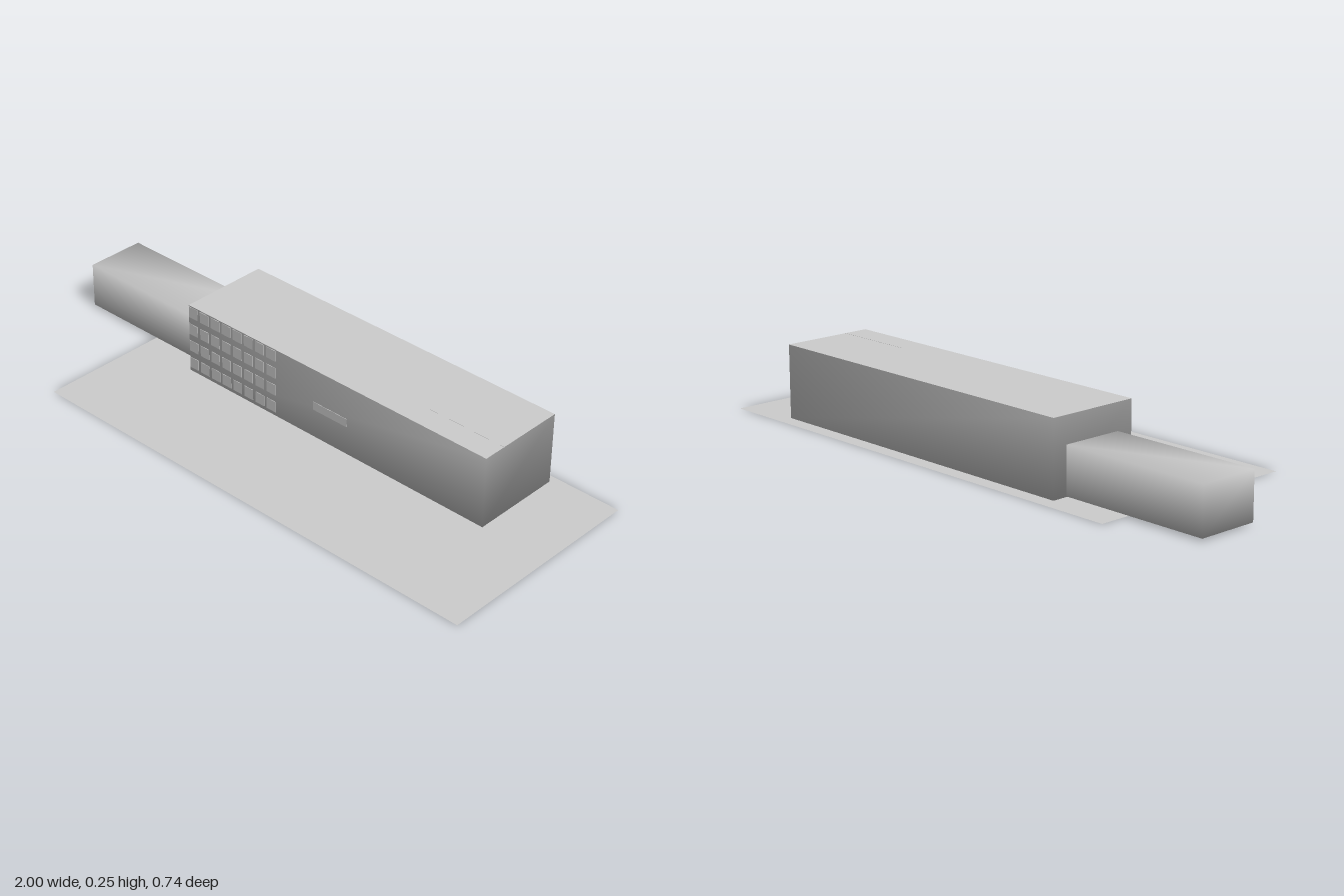
import * as THREE from 'three';
import { mergeVertices } from 'three/addons/utils/BufferGeometryUtils.js';

// box between two corners
function boxGeometry([x0, y0, z0], [x1, y1, z1]) {
  return new THREE.BoxGeometry(x1 - x0, y1 - y0, z1 - z0)
    .translate((x0 + x1) / 2, (y0 + y1) / 2, (z0 + z1) / 2);
}

// share the corners so that the shading runs softly over the edges
function soften(geometry) {
  geometry.deleteAttribute('normal');
  geometry.deleteAttribute('uv');
  const merged = mergeVertices(geometry);
  merged.computeVertexNormals();
  return merged;
}

export function createModel() {
  const model = new THREE.Group();
  const concrete = new THREE.MeshStandardMaterial({ color: 0xcccccc, side: THREE.DoubleSide });
  concrete.name = 'light grey';

  const add = (name, geometry, parent = model) => {
    const mesh = new THREE.Mesh(geometry, concrete);
    mesh.name = name;
    parent.add(mesh);
  };

  // site plate
  add('ground', new THREE.PlaneGeometry(1.7, 0.744).rotateX(-Math.PI / 2).translate(0.148, 0, 0));

  // main block: soft walls and floor, with a flat roof
  const walls = boxGeometry([-0.47, 0.007, -0.337], [0.765, 0.254, -0.018]);
  const index = Array.from(walls.index.array);
  index.splice(12, 6); // leave out the top face
  walls.setIndex(index);
  walls.clearGroups();
  add('mainBlock', soften(walls));
  add('roof', new THREE.PlaneGeometry(1.235, 0.319).rotateX(-Math.PI / 2).translate(0.1475, 0.254, -0.1775));

  // lower side wing
  add('wing', soften(boxGeometry([-1, 0.009, -0.285], [-0.47, 0.165, -0.075])));

  // window grid on the front
  const windows = new THREE.Group();
  windows.name = 'windows';
  model.add(windows);
  for (let row = 0; row < 4; row++) {
    for (let col = 0; col < 8; col++) {
      const x = -0.468 + col * 0.0495, y = 0.02 + row * 0.0635;
      add('window', boxGeometry([x, y, -0.02], [x + 0.038, y + 0.039, -0.0165]), windows);
    }
  }

  // entrance panel on the front
  add('entrancePanel', boxGeometry([0.08, 0.107, -0.02], [0.22, 0.136, -0.0165]));

  // thin seam along the roof
  add('roofSeam', boxGeometry([0.48, 0.252, -0.103], [0.765, 0.2545, -0.099]));

  return model;
}
